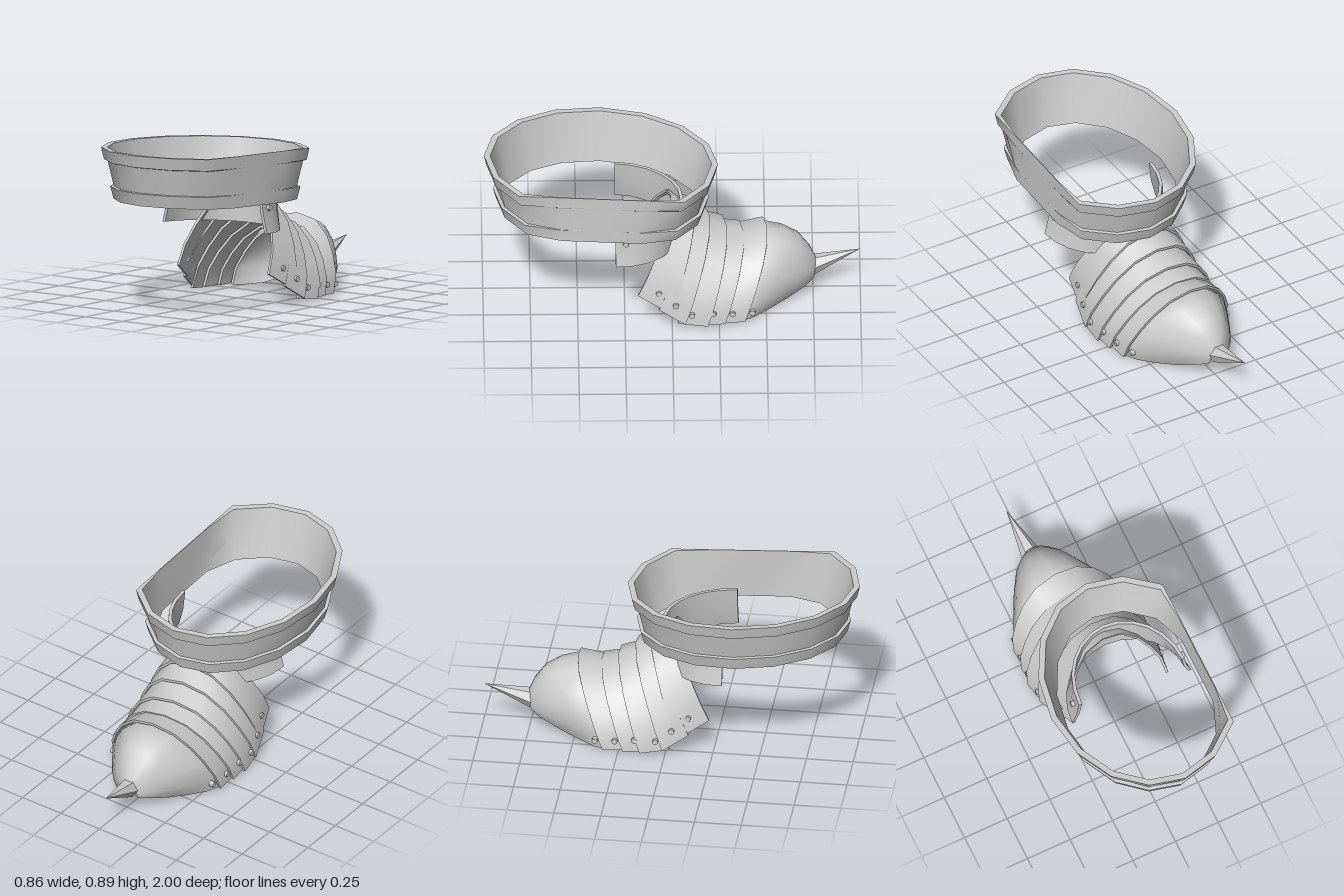
import * as THREE from 'three';
import { mergeGeometries } from 'three/addons/utils/BufferGeometryUtils.js';

const steel = new THREE.MeshStandardMaterial({ color: 0xcccccc, side: THREE.DoubleSide });
steel.name = 'steel';

const V = (x, y, z) => new THREE.Vector3(x, y, z);
const lerp = THREE.MathUtils.lerp;

// smooth surface through rows of points
function grid(rows, flip = false) {
  const n = rows[0].length, index = [];
  for (let i = 0; i < rows.length - 1; i++) {
    for (let j = 0; j < n - 1; j++) {
      const a = i * n + j, b = a + 1, c = a + n, d = c + 1;
      if (flip) index.push(a, b, c, b, d, c);
      else index.push(a, c, b, b, c, d);
    }
  }
  const g = new THREE.BufferGeometry().setFromPoints(rows.flat());
  g.setIndex(index);
  g.computeVertexNormals();
  return g;
}

// sheet with thickness: outer and inner skins joined by four rims
function shell(outer, inner) {
  const last = outer.length - 1, end = outer[0].length - 1;
  const column = (rows, j) => rows.map((r) => r[j]);
  return mergeGeometries([
    grid(outer), grid(inner, true),
    grid([inner[0], outer[0]]), grid([outer[last], inner[last]]),
    grid([column(outer, 0), column(inner, 0)]),
    grid([column(inner, end), column(outer, end)]),
  ]);
}

function add(parent, name, geometry) {
  const mesh = new THREE.Mesh(geometry, steel);
  mesh.name = name;
  parent.add(mesh);
  return mesh;
}

// the arm pieces drift and turn slightly sideways toward the spike
const centreX = (z) => 0.045 + 0.075 * z;
const YAW = 0.08;

// half arch outline: [width fraction, height fraction]
const HALF = [[1, 0], [0.97, 0.25], [0.84, 0.5], [0.66, 0.73], [0.38, 0.93], [0, 1]];
const ARCH = [
  ...HALF.map(([x, y]) => [-x, y]),
  ...HALF.slice(0, -1).reverse(),
];

// leaning arch: base z and y, apex z and y, half width, base tuck; inward offset
function arch([zb, yb, zt, yt, w, tuck = 0], off) {
  return ARCH.map(([s, f]) => {
    const z = lerp(zb, zt, f);
    const reach = (w - off) * (f === 0 ? 1 - tuck : 1);
    return V(centreX(z) + s * reach, lerp(yb, yt - off, f), z + YAW * w * (1 - f - s));
  });
}

const archShell = (sections, t = 0.014) =>
  shell(sections.map((s) => arch(s, 0)), sections.map((s) => arch(s, t)));

// tilted oval collar whose +x side is a thin flat wall
function collar() {
  const profile = [ // [z radius, height, x limit of the flat side]
    [0.62, 0.864, 0.43], [0.605, 0.8, 0.43], [0.586, 0.796, 0.43], [0.553, 0.658, 0.43],
    [0.572, 0.656, 0.43], [0.553, 0.588, 0.43], [0.52, 0.588, 0.425], [0.587, 0.864, 0.425],
  ];
  const rows = profile.map(([r, y, limit]) => {
    const row = [];
    for (let i = 0; i <= 16; i++) {
      const a = (i / 16 + 0.25) * Math.PI * 2, s = Math.sin(a);
      const dz = r * Math.cos(a);
      const x = 0.06 + s * (r - (s > 0 ? 0.097 : 0.128));
      row.push(V(Math.min(x, limit), y + 0.053 * dz, 0.375 + dz));
    }
    return row;
  });
  // separate bands keep the profile edges sharp
  return mergeGeometries(rows.map((r, i) => grid([r, rows[(i + 1) % rows.length]])));
}

// curved plate hanging under the collar
function hangingPlate() {
  const levels = [[0.31, 0.36, 0.65], [0.323, 0.353, 0.53], [0.35, 0.345, 0.425]];
  const skin = (off) => levels.map(([rx, rz, y]) => {
    const row = [];
    for (let i = 0; i <= 12; i++) {
      const a = (i / 12) * Math.PI;
      row.push(V(0.077 + (rx - off) * Math.cos(a), y - 0.015 * Math.sin(a),
        0.3 - (rz - off) * Math.sin(a)));
    }
    return row;
  });
  return shell(skin(0), skin(0.018));
}

// pair of rivets, the -x one moved forward by skew
function rivets(parent, cx, reach, y, z, skew = 0) {
  for (const side of [-1, 1]) {
    const g = new THREE.CylinderGeometry(0.016, 0.016, 0.026, 8);
    g.rotateZ(Math.PI / 2);
    g.translate(cx + side * reach, y, side < 0 ? z + skew : z);
    add(parent, 'rivet', g);
  }
}

export function createModel() {
  const model = new THREE.Group();
  model.name = 'shoulderArmour';

  add(model, 'collar', collar());
  add(model, 'hangingPlate', hangingPlate());
  rivets(model, 0.077, 0.319, 0.555, 0.245);

  // overlapping lames, each with front and back arch, then rivet reach, y, z
  const lames = [
    { front: [0.18, 0.185, 0.005, 0.62, 0.29], back: [0.0, 0.085, -0.12, 0.555, 0.335], rivet: [0.302, 0.205, 0.07] },
    { front: [0.07, 0.11, -0.09, 0.54, 0.322], back: [-0.07, 0.03, -0.2, 0.485, 0.355], rivet: [0.33, 0.14, -0.02] },
    { front: [-0.03, 0.03, -0.16, 0.47, 0.34], back: [-0.19, 0.015, -0.29, 0.418, 0.36], rivet: [0.344, 0.083, -0.105] },
    { front: [-0.15, 0.02, -0.25, 0.404, 0.342], back: [-0.28, 0.015, -0.38, 0.378, 0.345], rivet: [0.338, 0.083, -0.217] },
    { front: [-0.27, 0.015, -0.34, 0.364, 0.328], back: [-0.385, 0.012, -0.505, 0.4, 0.33], rivet: [0.324, 0.067, -0.32] },
  ];
  for (const { front, back, rivet: [reach, y, z] } of lames) {
    add(model, 'lame', archShell([front, back]));
    rivets(model, centreX(z), reach, y, z, 2 * YAW * reach);
  }

  // rounded end cap, open underneath
  add(model, 'endCap', archShell([
    [-0.37, 0.008, -0.43, 0.355, 0.31],
    [-0.43, 0.003, -0.51, 0.382, 0.3, 0.08],
    [-0.51, 0.006, -0.6, 0.367, 0.25, 0.15],
    [-0.61, 0.03, -0.68, 0.325, 0.19, 0.2],
    [-0.71, 0.07, -0.735, 0.25, 0.12, 0.15],
    [-0.755, 0.09, -0.765, 0.18, 0.055],
  ]));
  rivets(model, centreX(-0.425), 0.303, 0.056, -0.425, 0.05);

  // six-sided spike
  const base = V(-0.015, 0.135, -0.745), tip = V(-0.04, 0.215, -1);
  const axis = tip.clone().sub(base);
  const cone = new THREE.ConeGeometry(0.055, axis.length(), 6).toNonIndexed();
  cone.rotateY(Math.PI / 2);
  cone.computeVertexNormals();
  const spike = add(model, 'spike', cone);
  spike.quaternion.setFromUnitVectors(V(0, 1, 0), axis.normalize());
  spike.position.copy(base).add(tip).multiplyScalar(0.5);

  return model;
}
